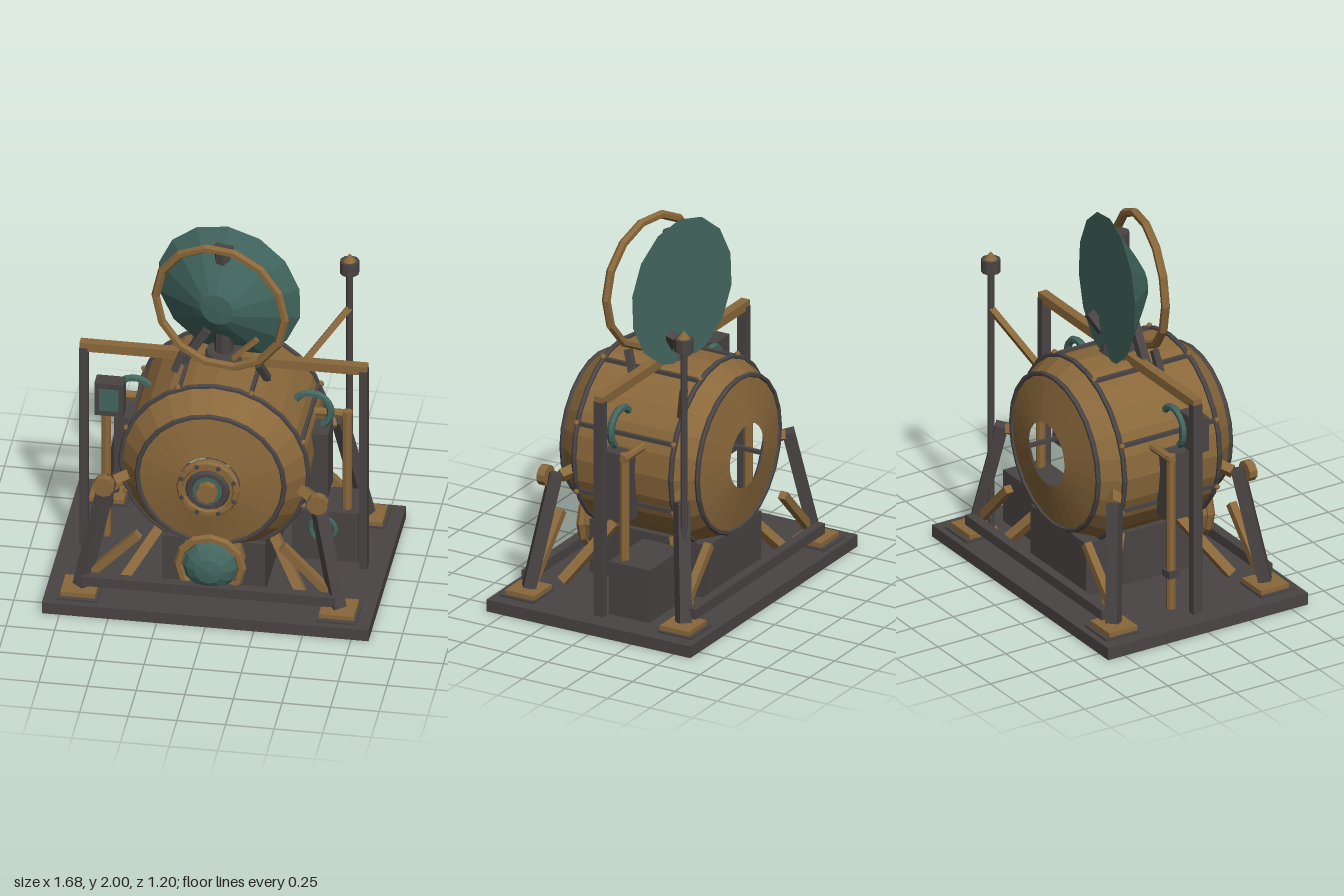
import * as THREE from 'three';

const mat = (name, color, extra = {}) =>
  Object.assign(new THREE.MeshStandardMaterial({ color, flatShading: true, ...extra }), { name });

export function createModel() {
  const root = new THREE.Group();
  root.name = 'boilerMachine';
  const iron = mat('darkIron', 0x4a4444);
  const bronze = mat('bronze', 0x8a683b);
  const teal = mat('tealEnamel', 0x42665f);

  const add = (name, geo, m, x = 0, y = 0, z = 0) => {
    const mesh = new THREE.Mesh(geo, m);
    mesh.name = name;
    mesh.position.set(x, y, z);
    root.add(mesh);
    return mesh;
  };
  const box = (name, m, w, h, d, x, y, z) => add(name, new THREE.BoxGeometry(w, h, d), m, x, y, z);
  // cylinder with its axis along z
  const disc = (name, m, r, len, x, y, z, sides = 16) =>
    add(name, new THREE.CylinderGeometry(r, r, len, sides).rotateX(Math.PI / 2), m, x, y, z);
  const ring = (name, m, r, tube, x, y, z, sides = 24, arc = Math.PI * 2) =>
    add(name, new THREE.TorusGeometry(r, tube, 6, sides, arc), m, x, y, z);
  // square or round bar between two points
  const bar = (name, m, a, b, w, round = false) => {
    const p = new THREE.Vector3(...a), q = new THREE.Vector3(...b);
    const len = p.distanceTo(q);
    const geo = round ? new THREE.CylinderGeometry(w / 2, w / 2, len, 8) : new THREE.BoxGeometry(w, len, w);
    const mesh = add(name, geo, m);
    mesh.position.copy(p).add(q).multiplyScalar(0.5);
    mesh.quaternion.setFromUnitVectors(new THREE.Vector3(0, 1, 0), q.sub(p).normalize());
    return mesh;
  };
  const lathe = (pts, sides) =>
    new THREE.LatheGeometry(pts.map(p => new THREE.Vector2(...p)), sides).rotateX(Math.PI / 2);

  // base and cradle
  box('base', iron, 1.68, 0.065, 1.2, 0, 0.0325, 0);
  box('cradle', iron, 0.53, 0.295, 0.7, 0, 0.21, -0.02);

  // drum shell, open at the back
  const cy = 0.775;
  add('drum', lathe([[0.17, -0.44], [0.41, -0.39], [0.478, -0.275], [0.478, 0.295],
    [0.375, 0.425], [0.16, 0.467]], 24), bronze, 0, cy, 0);
  for (const [r, z] of [[0.412, -0.39], [0.482, -0.275], [0.482, 0.295], [0.378, 0.425]])
    ring('drumBand', iron, r, 0.014, 0, cy, z);

  // lengthwise straps with rivets at their ends
  for (let i = 0; i < 8; i++) {
    const a = (i + 0.5) * Math.PI / 4, c = Math.cos(a), s = Math.sin(a);
    bar('drumStrap', iron, [c * 0.48, cy + s * 0.48, -0.275], [c * 0.48, cy + s * 0.48, 0.295], 0.02);
    for (const z of [-0.275, 0.295])
      add('rivet', new THREE.SphereGeometry(0.016, 6, 4), bronze, c * 0.493, cy + s * 0.493, z);
  }

  // porthole
  disc('portholeFlange', bronze, 0.15, 0.05, 0, cy, 0.485);
  ring('portholeRim', bronze, 0.145, 0.02, 0, cy, 0.505, 16);
  ring('portholeCollar', iron, 0.095, 0.02, 0, cy, 0.52, 16);
  disc('portholeGlass', teal, 0.085, 0.02, 0, cy, 0.515);
  disc('portholeHub', bronze, 0.055, 0.05, 0, cy, 0.54, 8);
  for (let i = 0; i < 8; i++) {
    const a = (i + 0.5) * Math.PI / 4;
    disc('portholeBolt', iron, 0.012, 0.02, 0.145 * Math.cos(a), cy + 0.145 * Math.sin(a), 0.522, 6);
  }

  // lower lamp
  disc('lampHousing', bronze, 0.165, 0.2, 0, 0.272, 0.34, 12);
  ring('lampRim', bronze, 0.163, 0.024, 0, 0.272, 0.44, 12);
  add('lampDome', lathe([[0.145, 0], [0.12, 0.035], [0.07, 0.065], [0, 0.075]], 12), teal, 0, 0.272, 0.44);

  // gantry over the drum
  box('gantryBeam', bronze, 1.48, 0.05, 0.05, 0, 1.25, 0);

  for (const sx of [-1, 1]) {
    box('gantryPost', iron, 0.042, 1.18, 0.054, sx * 0.72, 0.655, 0);

    // side valve case, feed hose and steam pipe
    box('valveCase', iron, 0.1, 0.37, 0.15, sx * 0.5, 0.705, 0.015);
    const hose = ring('hose', teal, 0.1, 0.02, sx * 0.455, 1.0, 0.035, 12, Math.PI * 1.15);
    hose.rotation.set(0, sx < 0 ? Math.PI : 0, -0.95, 'YXZ');
    bar('steamPipe', bronze, [sx * 0.62, 0.07, -0.085], [sx * 0.62, 0.935, -0.085], 0.05, true);
    bar('steamElbow', bronze, [sx * 0.645, 0.915, -0.09], [sx * 0.44, 0.915, -0.09], 0.045, true);
    box('pipeClamp', iron, 0.065, 0.04, 0.065, sx * 0.62, 0.27, -0.085);

    for (const sz of [-1, 1]) {
      // legs with footing and braces
      box('footPlate', bronze, 0.18, 0.03, 0.17, sx * 0.665, 0.085, sz * 0.455);
      box('footPad', iron, 0.21, 0.012, 0.2, sx * 0.665, 0.07, sz * 0.465);
      const leg = bar('leg', iron, [sx * 0.66, 0.1, sz * 0.455], [sx * 0.535, 0.7, sz * 0.37], 0.066);
      leg.rotateY(sx * sz * Math.PI / 5);
      bar('crossBrace', bronze, [sx * 0.64, 0.14, sz * 0.435], [sx * 0.37, 0.42, sz * 0.435], 0.042);
      bar('sideBrace', bronze, [sx * 0.47, 0.08, sz * 0.37], [sx * 0.27, 0.37, sz * 0.18], 0.05);
      bar('legTie', bronze, [sx * 0.51, 0.68, sz * 0.355], [sx * 0.44, 0.7, sz * 0.31], 0.05);
    }
    disc('legCap', bronze, 0.055, 0.045, sx * 0.55, 0.685, 0.422, 10);
  }
  for (const z of [-0.495, 0.48]) box('legRail', iron, 1.3, 0.055, 0.05, 0, 0.152, z);

  // gauge box and control box
  box('gaugeBox', iron, 0.34, 0.29, 0.24, 0.515, 0.21, -0.15);
  ring('gaugeRing', teal, 0.065, 0.013, 0.505, 0.255, -0.025, 14);
  box('controlBox', iron, 0.15, 0.19, 0.085, -0.572, 1.01, 0.083);
  box('controlScreen', teal, 0.1, 0.125, 0.008, -0.572, 1.01, 0.128);

  // mast with its tripod
  add('mast', new THREE.CylinderGeometry(0.05, 0.05, 0.69, 8), iron, 0, 1.575, 0);
  add('mastCollar', new THREE.CylinderGeometry(0.09, 0.11, 0.06, 12), iron, 0, 1.265, 0);
  bar('mastStay', iron, [-0.21, 1.22, 0.03], [-0.08, 1.43, 0.03], 0.045);
  bar('mastStay', iron, [0.03, 1.24, 0], [0.15, 1.42, -0.09], 0.045);
  bar('ringStay', bronze, [0.04, 1.27, 0.06], [0.18, 1.41, 0.06], 0.025);
  for (const sx of [-1, 1]) bar('ringBracket', iron, [sx * 0.24, 1.2, 0.09], [sx * 0.2, 1.31, 0.11 + sx * 0.03], 0.035);

  // dish and the hoop in front of it
  const turn = -0.186;
  add('dish', lathe([[0, 0], [0.39, 0], [0.145, 0.158], [0.09, 0.19], [0, 0.195]], 14),
    teal, 0.017, 1.61, -0.068).rotation.set(0.04, turn, 0, 'YXZ');
  ring('dishHoop', bronze, 0.348, 0.023, 0, 1.622, 0.122, 14).rotation.y = turn;

  // antenna
  bar('antennaPole', iron, [0.58, 0.06, -0.41], [0.58, 1.57, -0.41], 0.036, true);
  add('antennaCap', new THREE.CylinderGeometry(0.05, 0.05, 0.07, 10), iron, 0.58, 1.595, -0.41);
  add('antennaTip', new THREE.ConeGeometry(0.036, 0.045, 8), bronze, 0.58, 1.65, -0.41);
  bar('antennaStay', bronze, [0.37, 1.09, -0.27], [0.58, 1.35, -0.41], 0.032);

  return root;
}
